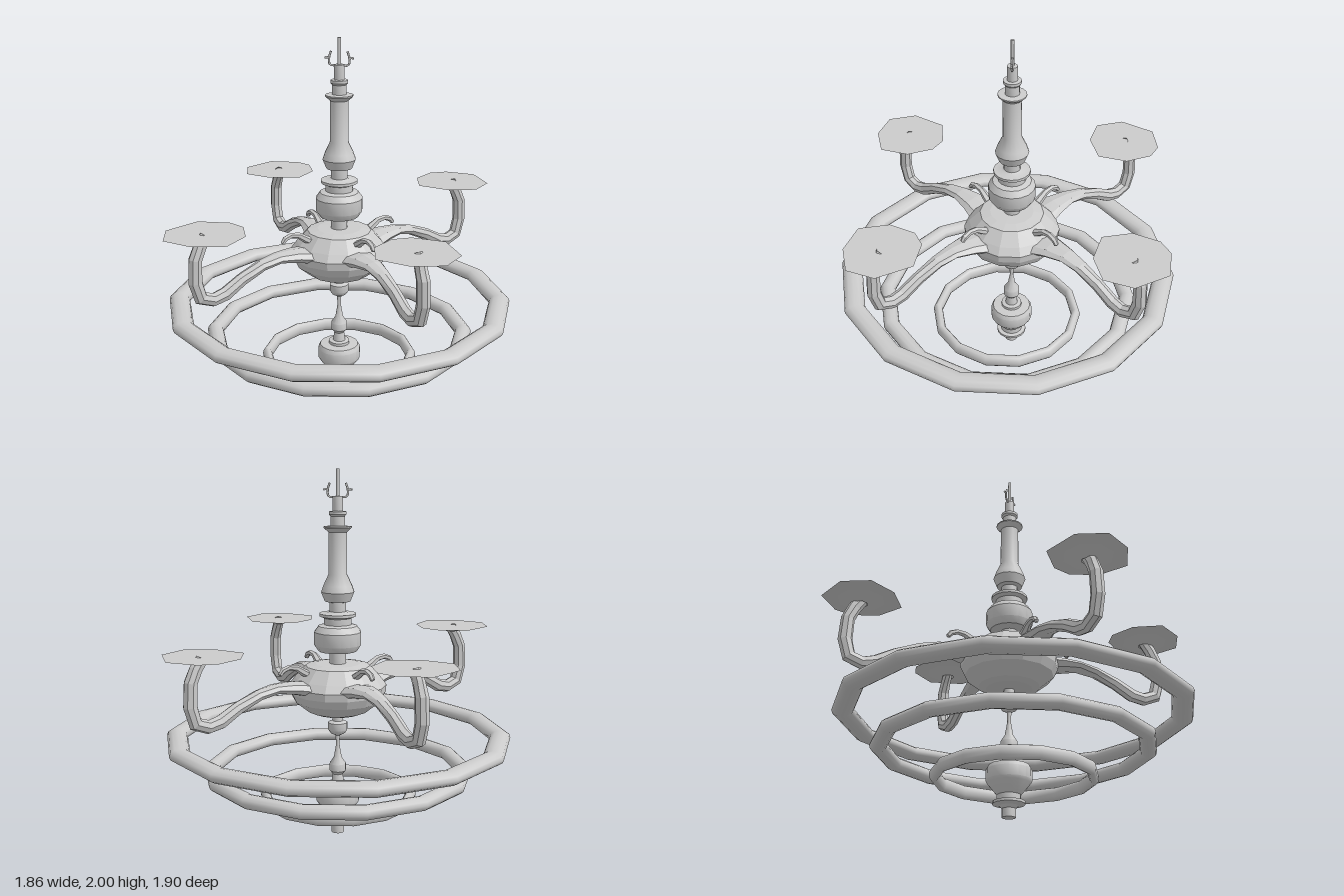
import * as THREE from 'three';
import { toCreasedNormals } from 'three/addons/utils/BufferGeometryUtils.js';

const smooth = new THREE.MeshStandardMaterial({ color: 0xcccccc, side: THREE.DoubleSide });
const faceted = new THREE.MeshStandardMaterial({ color: 0xcccccc, flatShading: true, side: THREE.DoubleSide });

function add(parent, name, geometry, material) {
  const mesh = new THREE.Mesh(geometry, material);
  mesh.name = name;
  parent.add(mesh);
  return mesh;
}

// Revolved part; profile is [radius, y] from bottom to top
function lathe(profile, sides) {
  return new THREE.LatheGeometry(profile.map(([r, y]) => new THREE.Vector2(r, y)), sides);
}

// Sweep an oval section through stations [out, y, halfWidth, halfThickness] in the xy plane
function sweep(stations, sides) {
  const pos = [], index = [], last = stations.length - 1;
  stations.forEach(([x, y, w, t], i) => {
    const a = stations[Math.max(i - 1, 0)], b = stations[Math.min(i + 1, last)];
    const dir = new THREE.Vector2(b[0] - a[0], b[1] - a[1]).normalize();
    for (let j = 0; j < sides; j++) {
      const ang = (j / sides) * Math.PI * 2;
      const n = t * Math.cos(ang);
      pos.push(x - dir.y * n, y + dir.x * n, w * Math.sin(ang));
      if (i < last) {
        const k = (j + 1) % sides, p = i * sides, q = p + sides;
        index.push(p + j, p + k, q + j, p + k, q + k, q + j);
      }
    }
  });
  const g = new THREE.BufferGeometry();
  g.setAttribute('position', new THREE.Float32BufferAttribute(pos, 3));
  g.setIndex(index);
  g.computeVertexNormals();
  return g;
}

export function createModel() {
  const root = new THREE.Group();
  root.name = 'chandelier';

  // Three stacked hoops, each a scaled copy of the same ring
  for (const [name, outer, y] of [['lowerHoop', 0.435, 0.213], ['middleHoop', 0.745, 0.36], ['upperHoop', 0.952, 0.547]]) {
    const r = outer * 0.0605;
    const g = new THREE.TorusGeometry(outer - r, r, 12, 14);
    g.rotateZ(Math.PI / 2).rotateX(Math.PI / 2).scale(1, 0.0375 / r, 1);
    add(root, name, g, smooth).position.y = y;
  }

  const body = new THREE.Group();
  body.name = 'body';
  body.position.set(-0.006, 0, -0.028);
  root.add(body);

  // Turned stem below the bowl
  const lower = [
    [0, 0], [0.036, 0], [0.036, 0.045], [0.05, 0.06], [0.085, 0.068], [0.085, 0.082], [0.062, 0.085],
    [0.062, 0.115], [0.112, 0.175], [0.12, 0.19], [0.12, 0.245], [0.108, 0.268], [0.058, 0.272],
    [0.058, 0.288], [0.035, 0.292], [0.028, 0.34], [0.045, 0.36], [0.045, 0.4], [0.022, 0.435],
    [0.01, 0.505], [0.012, 0.56], [0.04, 0.575], [0.053, 0.595], [0.053, 0.635], [0.03, 0.645], [0.028, 0.7],
  ];
  add(body, 'lowerStem', toCreasedNormals(lathe(lower, 16), 0.6), smooth);

  // Turned column above the bowl
  const upper = [
    [0.045, 0.95], [0.045, 1.03], [0.105, 1.035], [0.128, 1.07], [0.128, 1.14], [0.105, 1.172],
    [0.075, 1.18], [0.075, 1.215], [0.1, 1.225], [0.1, 1.24], [0.055, 1.243], [0.045, 1.25],
    [0.045, 1.3], [0.07, 1.305], [0.09, 1.355], [0.078, 1.39], [0.05, 1.45], [0.05, 1.672],
    [0.075, 1.695], [0.075, 1.702], [0.038, 1.705], [0.038, 1.755], [0.047, 1.765], [0.047, 1.78],
    [0.027, 1.782], [0.027, 1.86], [0, 1.862],
  ];
  add(body, 'upperColumn', toCreasedNormals(lathe(upper, 16), 0.6), smooth);

  // Faceted bowl that carries the arms
  const bowl = [
    [0, 0.685], [0.125, 0.69], [0.165, 0.705], [0.24, 0.765], [0.262, 0.81], [0.265, 0.85],
    [0.235, 0.89], [0.175, 0.955], [0.12, 0.965], [0, 0.968],
  ];
  add(body, 'bowl', lathe(bowl, 14), faceted);

  // Top spike with a flat hook on either side
  const spike = new THREE.CylinderGeometry(0.009, 0.009, 0.145, 8);
  add(body, 'topSpike', spike, smooth).position.y = 1.9275;
  for (const s of [-1, 1]) {
    const paths = [
      [[0.015, 1.855], [0.05, 1.858], [0.054, 1.895], [0.044, 1.928]],
      [[0.054, 1.893], [0.066, 1.895], [0.078, 1.893]],
    ];
    for (const p of paths) {
      const curve = new THREE.CatmullRomCurve3(p.map(([x, y]) => new THREE.Vector3(s * x, y, 0)), false, 'centripetal');
      add(body, 'topHook', new THREE.TubeGeometry(curve, 8, 0.006, 6), smooth);
    }
  }

  // Curved arms, scrolls and drip plates on the four diagonals
  const armStations = [
    [0.2, 0.85, 0.11, 0.04], [0.3, 0.868, 0.08, 0.035], [0.4, 0.875, 0.056, 0.026], [0.5, 0.855, 0.042, 0.028],
    [0.62, 0.805, 0.034, 0.034], [0.72, 0.748, 0.034, 0.038], [0.79, 0.733, 0.034, 0.036], [0.86, 0.76, 0.034, 0.038],
    [0.886, 0.85, 0.034, 0.038], [0.88, 0.97, 0.034, 0.036], [0.85, 1.035, 0.03, 0.036], [0.815, 1.085, 0.028, 0.034],
  ];
  const scrollStations = [
    [0.17, 0.915, 0.03, 0.02], [0.215, 0.94, 0.024, 0.02], [0.255, 0.966, 0.018, 0.017], [0.3, 0.973, 0.016, 0.015],
    [0.335, 0.96, 0.016, 0.015], [0.352, 0.938, 0.013, 0.012], [0.354, 0.934, 0.001, 0.001],
  ];
  const armGeometry = sweep(armStations, 8);
  const scrollGeometry = sweep(scrollStations, 6);
  const saucer = lathe([[0.035, 1.064], [0.125, 1.086], [0.18, 1.093]], 8);
  const outline = [[-0.06, -0.195], [0.11, -0.175], [0.21, 0], [0.16, 0.15], [0, 0.195], [-0.17, 0.148], [-0.21, -0.01], [-0.15, -0.147]];

  for (const sx of [-1, 1]) {
    const shape = new THREE.Shape(outline.map(([x, z]) => new THREE.Vector2(sx * x, -z)));
    const plate = new THREE.ShapeGeometry(shape).rotateX(-Math.PI / 2);
    for (const sz of [-1, 1]) {
      const side = (sz > 0 ? 'front' : 'back') + (sx > 0 ? 'Left' : 'Right');
      add(body, side + 'Arm', armGeometry, faceted).rotation.y = Math.atan2(-sz * 0.625, sx * 0.535);
      add(body, side + 'Scroll', scrollGeometry, faceted).rotation.y = Math.atan2(-sz, sx);
      add(body, side + 'DripPlate', plate, faceted).position.set(sx * 0.533, 1.095, sz * 0.622);
      add(body, side + 'Saucer', saucer, faceted).position.set(sx * 0.533, 0, sz * 0.622);
    }
  }
  return root;
}
